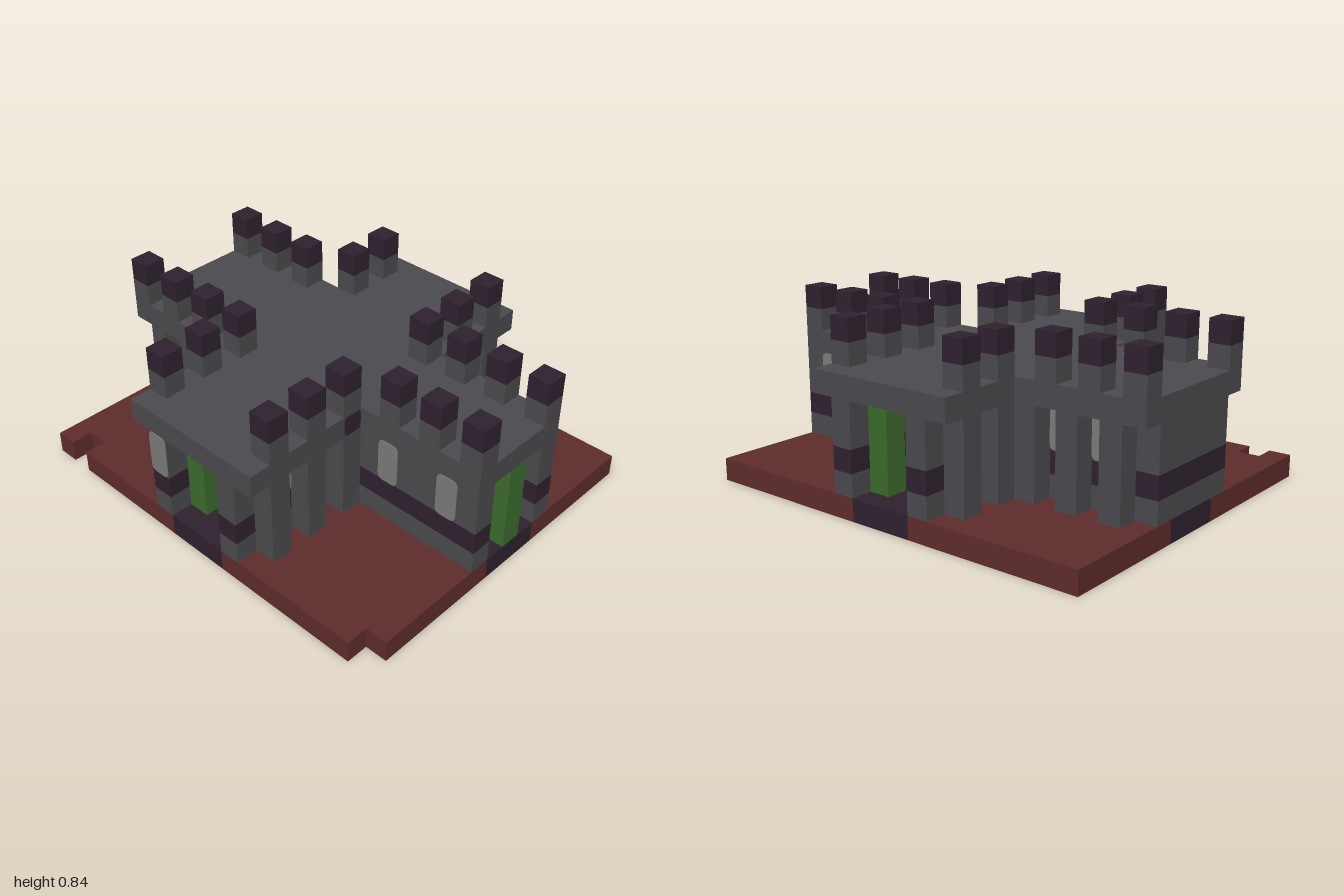
import * as THREE from 'three';

const U = 2 / 19; // one block; the plan is 19 x 16 blocks, 8 high

const material = (name, color) => {
  const m = new THREE.MeshStandardMaterial({ color });
  m.name = name;
  return m;
};

export function createModel() {
  const model = new THREE.Group();
  model.name = 'castle';
  const stone = material('grey stone', 0x4b4b4f);
  const dark = material('dark trim', 0x2e212e);
  const red = material('red ground', 0x5f2c2c);
  const green = material('green door', 0x3b6b2d);
  const glass = material('pale window', 0x7b7d79);

  // Box given by block coordinates
  const box = (name, mat, x0, x1, y0, y1, z0, z1) => {
    const mesh = new THREE.Mesh(new THREE.BoxGeometry((x1 - x0) * U, (y1 - y0) * U, (z1 - z0) * U), mat);
    mesh.position.set(((x0 + x1) / 2 - 9.5) * U, ((y0 + y1) / 2) * U, ((z0 + z1) / 2 - 8) * U);
    mesh.name = name;
    model.add(mesh);
  };

  // Ground: four red quarters (front ones notched) and a dark cross path
  [[0, 8, 0, 6], [11, 19, 0, 6], [0, 8, 9, 15], [11, 19, 9, 15],
    [0, 1, 15, 16], [2, 8, 15, 16], [11, 18, 15, 16]]
    .forEach(([x0, x1, z0, z1]) => box('ground', red, x0, x1, 0, 1, z0, z1));
  [[8, 11, 0, 16], [0, 8, 6, 9], [11, 19, 6, 9]]
    .forEach(([x0, x1, z0, z1]) => box('path', dark, x0, x1, 0, 1, z0, z1));

  // Walls with a dark band
  const wall = (x0, x1, z0, z1) => {
    box('wallFoot', stone, x0, x1, 1, 2, z0, z1);
    box('wallBand', dark, x0, x1, 2, 3, z0, z1);
    box('wallTop', stone, x0, x1, 3, 5, z0, z1);
  };
  for (const x of [7, 11]) {
    wall(x, x + 1, 0, 6);
    wall(x, x + 1, 9, 16);
  }
  for (const z of [5, 9]) {
    wall(0, 7, z, z + 1);
    wall(12, 19, z, z + 1);
  }
  wall(0, 1, 6, 9);

  // Buttresses
  const buttress = (x, z) => box('buttress', stone, x, x + 1, 1, 5, z, z + 1);
  for (const x of [6, 12]) for (const z of [1, 3, 10, 12, 14]) buttress(x, z);
  for (const x of [1, 3, 5]) for (const z of [4, 10]) buttress(x, z);

  // Cross-shaped roof
  box('roof', stone, 6, 13, 5, 6, 0, 16);
  box('roof', stone, 0, 6, 5, 6, 4, 11);
  box('roof', stone, 13, 19, 5, 6, 5, 10);

  // Battlements
  [[0, 4], [2, 4], [4, 4], [6, 1], [6, 3], [0, 10], [2, 10], [4, 10], [6, 10], [6, 12], [6, 14],
    [12, 1], [12, 3], [12, 5], [14, 5], [16, 5], [18, 5],
    [14, 9], [16, 9], [18, 9], [12, 10], [12, 12], [12, 14]]
    .forEach(([x, z]) => {
      box('merlon', stone, x, x + 1, 6, 7, z, z + 1);
      box('merlonCap', dark, x, x + 1, 7, 8, z, z + 1);
    });

  // Doors: narrow leaves at three ends and the inner partition
  box('frontDoor', green, 8, 9, 1, 5, 14, 15);
  box('backDoor', green, 10, 11, 1, 5, 1, 2);
  box('leftDoor', green, 18, 19, 1, 5, 7, 8);
  box('innerDoor', green, 8, 9, 1, 5, 6, 9);
  box('innerDoor', green, 9, 10, 2, 5, 6, 9);
  box('lintel', stone, 10, 11, 4, 5, 3, 4);

  // Thin plates with cut corners, centred on a block position and turned outward
  const plate = (name, mat, w, h, cut, x, y, z, turn) => {
    const a = w / 2, b = h / 2, s = new THREE.Shape();
    s.moveTo(-a + cut, -b);
    s.lineTo(a - cut, -b);
    s.quadraticCurveTo(a, -b, a, -b + cut);
    s.lineTo(a, b - cut);
    s.quadraticCurveTo(a, b, a - cut, b);
    s.lineTo(-a + cut, b);
    s.quadraticCurveTo(-a, b, -a, b - cut);
    s.lineTo(-a, -b + cut);
    s.quadraticCurveTo(-a, -b, -a + cut, -b);
    const geo = new THREE.ExtrudeGeometry(s, { depth: 0.004, bevelEnabled: false, curveSegments: 4 });
    const mesh = new THREE.Mesh(geo, mat);
    mesh.position.set((x - 9.5) * U, y * U, (z - 8) * U);
    mesh.rotation.y = turn;
    mesh.name = name;
    model.add(mesh);
  };
  const pane = (x, z, turn) => plate('window', glass, U, 2 * U, 0.03, x, 4, z, turn);
  for (const x of [2.5, 4.5, 14.5, 17.5]) {
    pane(x, 10, 0);
    pane(x, 5, Math.PI);
  }
  pane(7.5, 16, 0);
  pane(12, 13.5, Math.PI / 2);
  pane(7, 13.5, -Math.PI / 2);

  // Dark stone set in the roof edge
  plate('roofStone', dark, 0.9 * U, 0.9 * U, 0.02, 13, 5.5, 10.5, Math.PI / 2);

  return model;
}
